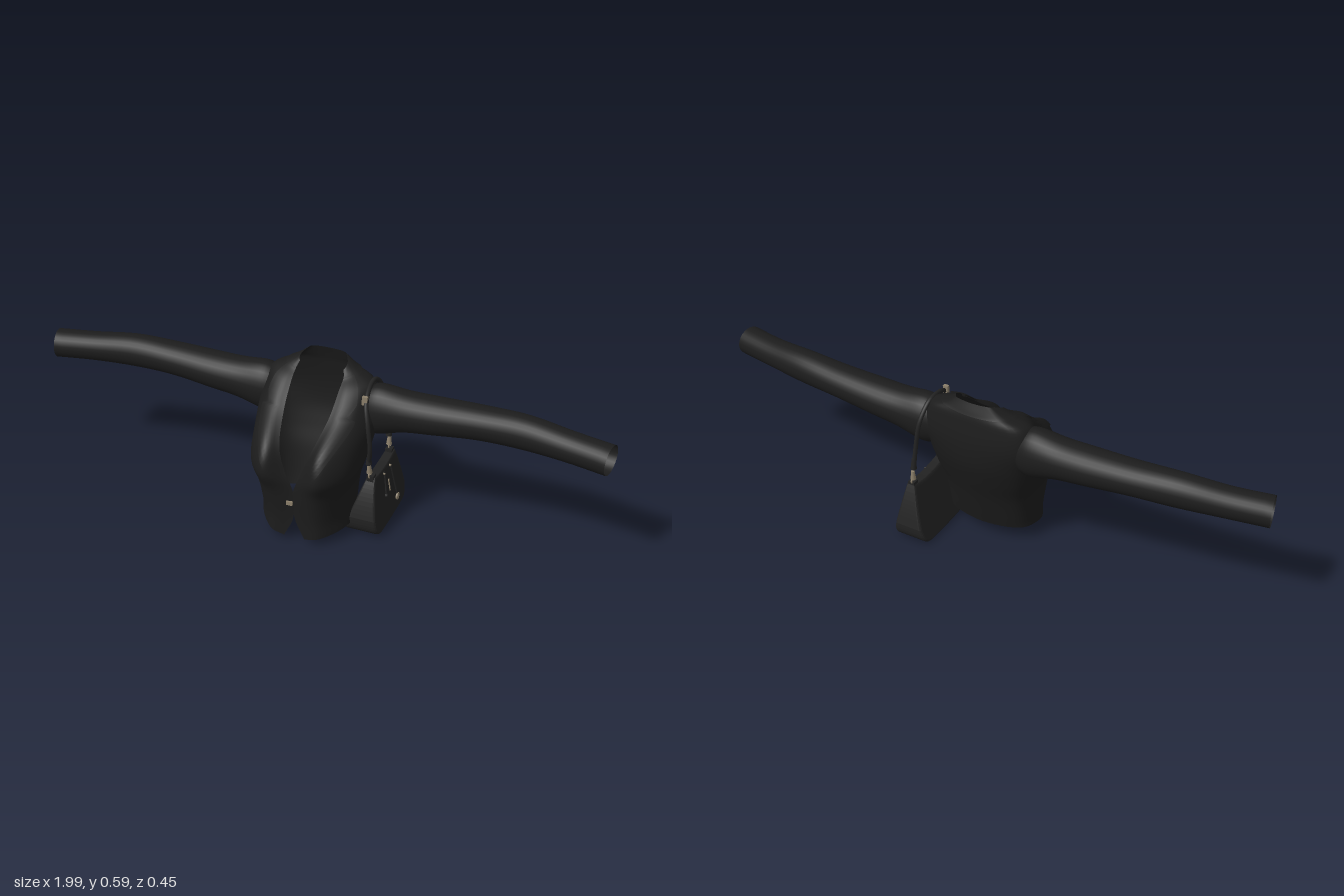
import * as THREE from 'three';
import { mergeVertices } from 'three/addons/utils/BufferGeometryUtils.js';

const V = (x, y, z) => new THREE.Vector3(x, y, z);
const lerp = THREE.MathUtils.lerp;
const smooth = (pts) => new THREE.CatmullRomCurve3(pts, false, 'catmullrom', 0.5);

// Smooth sheet from a point function f(i / nu, j / nv)
function sheet(f, nu, nv) {
  const pos = [], idx = [];
  for (let j = 0; j <= nv; j++)
    for (let i = 0; i <= nu; i++) pos.push(...f(i / nu, j / nv).toArray());
  for (let j = 0; j < nv; j++)
    for (let i = 0; i < nu; i++) {
      const a = j * (nu + 1) + i, c = a + nu + 1;
      idx.push(a, a + 1, c + 1, a, c + 1, c);
    }
  let g = new THREE.BufferGeometry();
  g.setAttribute('position', new THREE.Float32BufferAttribute(pos, 3));
  g.setIndex(idx);
  g = mergeVertices(g, 1e-5);
  g.computeVertexNormals();
  return g;
}

// Jacket sections, hem to collar: front y, back y, then x, z of the
// opening edge, bust, front side and side, then z of the centre back
const SECTIONS = [
  [.018, .064, .037, .183, .09, .175, .145, .11, .164, .04, -.065],
  [.1, .1, .002, .183, .085, .18, .146, .11, .162, .03, -.075],
  [.2, .2, 0, .186, .09, .198, .156, .125, .168, .02, -.103],
  [.28, .28, .03, .187, .1, .225, .173, .14, .187, 0, -.13],
  [.36, .36, .058, .165, .105, .192, .172, .115, .203, -.02, -.152],
  [.44, .44, .08, .075, .12, .082, .172, .04, .212, -.06, -.157],
  [.508, .52, .086, 0, .115, .002, .155, -.02, .187, -.07, -.147],
  [.536, .555, .086, -.038, .1, -.045, .113, -.06, .118, -.085, -.139],
  [.56, .59, .078, -.058, .083, -.068, .082, -.085, .071, -.105, -.128],
];
const rowCurves = SECTIONS.map(([y0, y1, ...r]) => {
  const half = [0, .25, .55, .85].map((t, i) => V(r[2 * i], lerp(y0, y1, t), r[2 * i + 1]));
  // the back corner follows from the side and the centre back
  half.push(V(r[6] * .78, y1, lerp(r[7], r[8], .72)), V(0, y1, r[8]));
  const other = half.slice(0, 5).reverse().map((p) => V(-p.x, p.y, p.z));
  return smooth([...half, ...other]);
});
const jacketPoint = (u, v) => smooth(rowCurves.map((c) => c.getPoint(u))).getPoint(v);

// Jacket surface moved outward by d
function raised(u, v, d) {
  const e = 0.004;
  const u0 = Math.max(0, u - e), u1 = Math.min(1, u + e), v0 = Math.max(0, v - e), v1 = Math.min(1, v + e);
  const du = jacketPoint(u1, v).sub(jacketPoint(u0, v));
  const dv = jacketPoint(u, v1).sub(jacketPoint(u, v0));
  return jacketPoint(u, v).addScaledVector(du.cross(dv).normalize(), d);
}

// Piecewise linear lookup in [[key, value], ...]
function lookup(table, k) {
  const i = Math.max(1, table.findIndex((p) => p[0] >= k));
  const [a, b] = [table[i - 1], table[i]];
  return lerp(a[1], b[1], (k - a[0]) / (b[0] - a[0]));
}

// Sleeve rings: x, y, z, half height, half depth
const SLEEVE = [
  [.165, .432, -.068, .082, .062], [.21, .435, -.069, .09, .069], [.3, .444, -.07, .072, .068],
  [.4, .451, -.07, .065, .067], [.55, .462, -.069, .058, .061], [.7, .467, -.06, .058, .056],
  [.85, .463, -.038, .051, .052], [.986, .461, -.012, .05, .053],
];
const sleevePath = smooth(SLEEVE.map((r) => V(r[0], r[1], r[2])));
const sleeveSize = smooth(SLEEVE.map((r) => V(r[3], r[4], 0)));
function sleevePoint(u, v, side) {
  const c = sleevePath.getPoint(v), s = sleeveSize.getPoint(v), t = sleevePath.getTangent(v);
  const a = u * Math.PI * 2 * side, l = Math.hypot(t.x, t.z);
  // depth axis follows the bend of the arm
  const w = Math.sin(a) * s.y;
  return V(side * (c.x - w * t.z / l), c.y + Math.cos(a) * s.x, c.z + w * t.x / l);
}

// Left and right faces of the bag at height y
const bagIn = (y) => lerp(.127, .197, y / .215);
const bagOut = (y) => lerp(.262, .228, y / .215);

export function createModel() {
  const model = new THREE.Group();
  const mat = (name, color, side = THREE.FrontSide) => {
    const m = new THREE.MeshStandardMaterial({ color, side });
    m.name = name;
    return m;
  };
  const cloth = mat('black cloth', 0x1c1c1c, THREE.DoubleSide);
  const leather = mat('black leather', 0x222222);
  const metal = mat('pale brass', 0x8a7e6a);
  const add = (parent, name, geo, material, p = [0, 0, 0]) => {
    const m = new THREE.Mesh(geo, material);
    m.name = name;
    m.position.set(...p);
    parent.add(m);
    return m;
  };
  const tube = (pts, r, n = 40) => new THREE.TubeGeometry(smooth(pts.map((p) => V(...p))), n, r, 8);

  // Jacket
  const jacket = new THREE.Group();
  jacket.name = 'jacket';
  model.add(jacket);
  add(jacket, 'jacketBody', sheet(jacketPoint, 60, 48), cloth);
  const widths = [[2.05, .02], [3, .7], [4, 1.3], [5, 1.85], [5.15, 1.35], [5.5, 1.75], [6.2, 1.8], [7, 2]];
  for (const side of [1, -1]) {
    const name = side > 0 ? 'left' : 'right';
    add(jacket, name + 'Sleeve', sheet((u, v) => sleevePoint(u, v, side), 28, 36), cloth);
    // Lapel lying on the chest
    add(jacket, name + 'Lapel', sheet((a, b) => {
      const k = lerp(2.05, 7, b), u = lookup(widths, k) / 10 * (side > 0 ? a : 1 - a);
      return raised(side > 0 ? u : 1 - u, k / 8, .005);
    }, 8, 40), cloth);
  }
  // Turned-down collar around the neck
  add(jacket, 'collar', sheet((a, b) => raised(a, lerp(6.8, 8, b) / 8, .005 * (1 - b)), 50, 8), cloth);
  add(jacket, 'frontButton', new THREE.BoxGeometry(.022, .014, .008), metal, [-.013, .16, .19]);

  // Bag body: rounded trapezoid, wide at the base
  const bag = new THREE.Group();
  bag.name = 'shoulderBag';
  model.add(bag);
  const s = new THREE.Shape();
  s.moveTo(-.02, .216);
  s.quadraticCurveTo(.08, .196, .175, .216);
  s.quadraticCurveTo(.205, .15, .224, .068);
  s.quadraticCurveTo(.225, .008, .18, .005);
  s.quadraticCurveTo(.07, 0, -.035, .005);
  s.quadraticCurveTo(-.078, .012, -.076, .075);
  s.quadraticCurveTo(-.055, .16, -.02, .216);
  const body = new THREE.ExtrudeGeometry(s, {
    depth: 1, bevelThickness: .12, bevelSize: .01, bevelOffset: -.01, bevelSegments: 3, curveSegments: 10,
  });
  body.rotateY(Math.PI / 2);
  const p = body.attributes.position;
  for (let i = 0; i < p.count; i++) {
    const y = p.getY(i);
    p.setX(i, lerp(bagIn(y), bagOut(y), (p.getX(i) + .12) / 1.24));
  }
  body.computeVertexNormals();
  add(bag, 'bagBody', body, leather);

  // Shoulder strap
  add(bag, 'strap', tube([
    [.207, .275, .03], [.214, .35, .046], [.205, .43, .045], [.186, .495, .012], [.176, .526, -.05],
    [.177, .522, -.105], [.185, .465, -.15], [.197, .37, -.16], [.205, .275, -.165],
  ], .008, 60), leather);
  add(bag, 'strapBuckle', new THREE.BoxGeometry(.018, .03, .012), metal, [.181, .503, .012]);
  // Clasps, rings and tabs at both strap ends
  for (const [z, tilt] of [[.026, .15], [-.168, -.05]]) {
    add(bag, 'strapEnd', new THREE.CylinderGeometry(.006, .011, .04, 12), leather, [.207, .295, z + .006]);
    add(bag, 'clasp', new THREE.CylinderGeometry(.006, .01, .034, 10), metal, [.207, .252, z]).rotation.x = tilt;
    add(bag, 'claspRing', new THREE.TorusGeometry(.009, .003, 8, 16), metal, [.209, .228, z]).rotation.y = Math.PI / 2;
    add(bag, 'strapTab', new THREE.BoxGeometry(.024, .025, .024), leather, [.211, .212, z > 0 ? z - .01 : z + .004]);
  }

  // Cords, pull tab and round charm on the outer face
  const onFace = (y, z, d = .003) => [bagOut(y) + d, y, z];
  add(bag, 'longCord', tube([onFace(.2, -.11), onFace(.14, -.119), onFace(.065, -.132)], .003), leather);
  add(bag, 'shortCord', tube([onFace(.2, -.052), onFace(.15, -.047), onFace(.112, -.04)], .003), leather);
  add(bag, 'cordEnd', new THREE.SphereGeometry(.007, 10, 8), leather, onFace(.112, -.04));
  add(bag, 'charm', new THREE.CylinderGeometry(.013, .013, .006, 20), metal, onFace(.053, -.133)).rotation.z = Math.PI / 2;
  add(bag, 'pullTab', new THREE.BoxGeometry(.004, .045, .005), metal, onFace(.13, -.081, .001)).rotation.z = .16;
  for (const z of [-.05, -.108])
    add(bag, 'stud', new THREE.SphereGeometry(.005, 8, 6), metal, onFace(.192, z, .002));

  return model;
}
